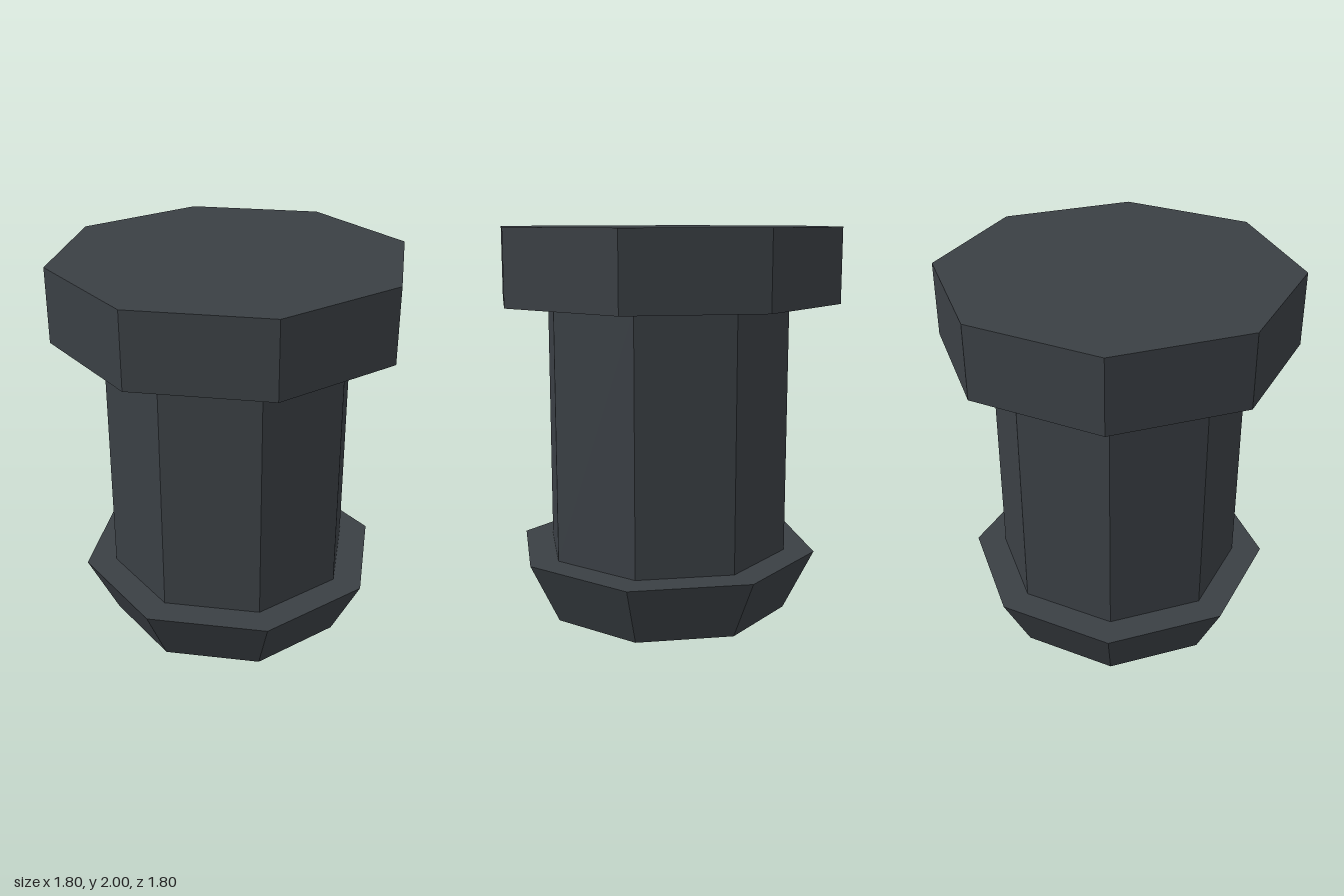
import * as THREE from 'three';

export function createModel() {
  const model = new THREE.Group();
  model.name = 'bollard';

  const darkMetal = new THREE.MeshStandardMaterial({ color: 0x3a3f44, flatShading: true });
  darkMetal.name = 'darkMetal';

  // Eight-sided section standing between two heights, corners on the x and z axes
  const addSection = (name, topRadius, bottomRadius, y0, y1, open = false) => {
    const geometry = new THREE.CylinderGeometry(topRadius, bottomRadius, y1 - y0, 8, 1, open);
    const mesh = new THREE.Mesh(geometry, darkMetal);
    mesh.name = name;
    mesh.position.y = (y0 + y1) / 2;
    model.add(mesh);
  };

  addSection('taperedFoot', 0.8, 0.643, 0, 0.32);
  // The ends of the shaft are hidden by the foot and the head
  addSection('shaft', 0.643, 0.643, 0.32, 1.62, true);
  addSection('head', 0.9, 0.9, 1.62, 2);

  return model;
}
